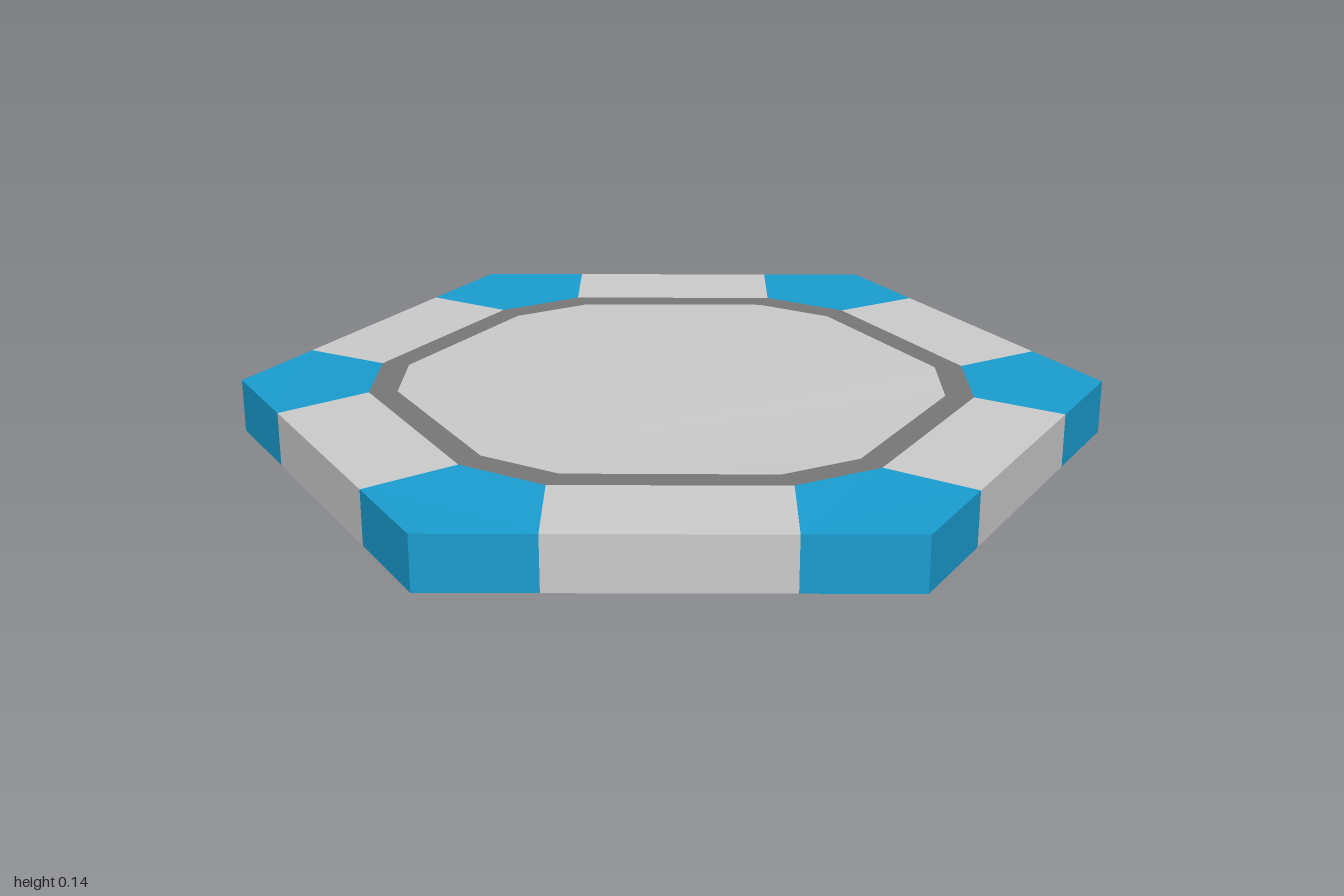
import * as THREE from 'three';

const H = 0.125;
const grey = new THREE.MeshStandardMaterial({ color: 0xcccccc, flatShading: true });
const dark = new THREE.MeshStandardMaterial({ color: 0x787878, flatShading: true });
const blue = new THREE.MeshStandardMaterial({ color: 0x1a9dd0, flatShading: true });

// The front of the inner plate rises very slightly above the rim
function topY([x, z]) {
  if (Math.hypot(x, z) > 0.8) return H;
  return H + 0.01 * THREE.MathUtils.clamp((z - 0.08) / 0.36, 0, 1);
}

// Turn a point [x, z] by k sixths about the vertical axis
function turn([x, z], k) {
  const c = Math.cos(k * Math.PI / 3), s = Math.sin(k * Math.PI / 3);
  return [x * c + z * s, z * c - x * s];
}

const low = (p) => [p[0], 0, p[1]];
const high = (p) => [p[0], topY(p), p[1]];

// Convex outline (counter-clockwise from above) to top, underside and the first `walls` side faces
function slab(name, outline, material, { top = true, bottom = true, walls = 0 } = {}) {
  const v = [];
  const tri = (...corners) => corners.forEach((c) => v.push(...c));
  for (let i = 1; i < outline.length - 1; i++) {
    const [a, b, c] = [outline[0], outline[i], outline[i + 1]];
    if (top) tri(high(a), high(b), high(c));
    if (bottom) tri(low(a), low(c), low(b));
  }
  for (let i = 0; i < walls; i++) {
    const a = outline[i], b = outline[i + 1];
    tri(low(a), low(b), high(b));
    tri(low(a), high(b), high(a));
  }
  const g = new THREE.BufferGeometry();
  g.setAttribute('position', new THREE.Float32BufferAttribute(v, 3));
  g.computeVertexNormals();
  const mesh = new THREE.Mesh(g, material);
  mesh.name = name;
  return mesh;
}

export function createModel() {
  const model = new THREE.Group();
  model.name = 'hexagonalTile';

  // Outlines of one corner block and the rim panel next to it
  const corner = [[-0.2165, 0.875], [0, 1], [0.2165, 0.875], [0.108, 0.6875], [-0.108, 0.6875]];
  const panel = [corner[2], turn(corner[0], 1), turn(corner[4], 1), corner[3]];
  const ringOuter = [];

  for (let k = 0; k < 6; k++) {
    const at = (p) => turn(p, k);
    model.add(slab('cornerBlock', corner.map(at), blue, { walls: 2 }));
    model.add(slab('rimPanel', panel.map(at), grey, { walls: 1 }));
    ringOuter.push(at(corner[4]), at(corner[3]));
  }

  // Dark twelve-sided border
  const ringInner = ringOuter.map(([x, z]) => [x * 0.907, z * 0.907]);
  const border = new THREE.Group();
  border.name = 'border';
  ringOuter.forEach((a, i) => {
    const j = (i + 1) % 12;
    const strip = [a, ringOuter[j], ringInner[j], ringInner[i]];
    border.add(slab('borderStrip', strip, dark, { bottom: false }));
  });
  model.add(border);

  // Centre plate and underside
  model.add(slab('centrePlate', ringInner, grey, { bottom: false }));
  model.add(slab('underside', ringOuter, grey, { top: false }));
  return model;
}
